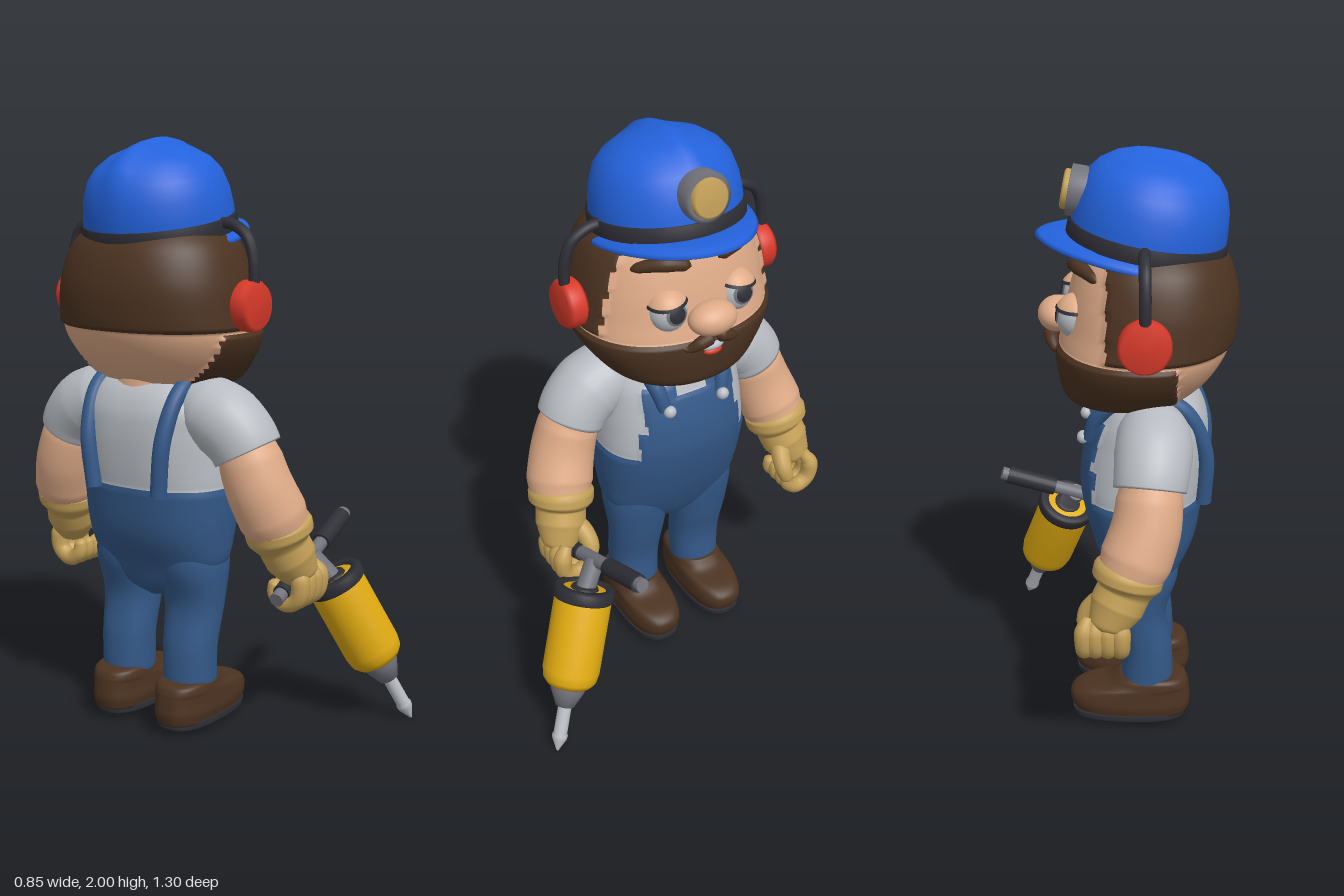
import * as THREE from 'three';
import { mergeVertices } from 'three/addons/utils/BufferGeometryUtils.js';

const V = (x, y, z) => new THREE.Vector3(x, y, z);
const mat = (name, color) => { const m = new THREE.MeshStandardMaterial({ color }); m.name = name; return m; };
const M = {
  helmet: mat('helmetBlue', 0x2362dc), denim: mat('denimBlue', 0x345989), yellow: mat('yellow', 0xe0aa10),
  red: mat('red', 0xd83a2a), skin: mat('skin', 0xdfab88), brown: mat('brown', 0x4c3321),
  shirt: mat('lightGrey', 0xb8bcc2), black: mat('charcoal', 0x2e2e36), metal: mat('metalGrey', 0x72727c),
  tan: mat('tan', 0xc4a058),
};

function add(parent, name, geo, material, pos) {
  const m = new THREE.Mesh(geo, material);
  m.name = name;
  if (pos) m.position.set(...pos);
  parent.add(m);
  return m;
}

// Stacked superellipse rings [y, xBack, xFront, halfWidth]; rule picks a material index, swell pushes vertices out
function loft(rings, { seg = 40, rows = 32, zc = 0, e = 2.2, rule = null, swell = null } = {}) {
  const yc = new THREE.CatmullRomCurve3(rings.map(r => V(r[0], 0, 0)), false, 'catmullrom');
  const sc = new THREE.CatmullRomCurve3(rings.map(r => V(r[1], r[2], r[3])), false, 'catmullrom');
  const pos = [], lists = [[], [], []];
  for (let j = -1; j <= rows + 1; j++) {
    const t = Math.min(Math.max(j / rows, 0), 1), k = j < 0 || j > rows ? 0 : 1;
    const y = yc.getPoint(t).x, s = sc.getPoint(t), cx = (s.x + s.y) / 2, rx = (s.y - s.x) / 2;
    for (let i = 0; i < seg; i++) {
      const a = i / seg * Math.PI * 2, c = Math.cos(a), n = Math.sin(a);
      let dx = k * rx * Math.sign(c) * Math.abs(c) ** (2 / e), dz = k * s.z * Math.sign(n) * Math.abs(n) ** (2 / e);
      const g = swell ? swell(cx + dx, y, dz) : 1;
      pos.push(cx + dx * g, y, zc + dz * g);
    }
  }
  const P = (i, n) => pos[i * 3 + n];
  for (let j = 0; j < rows + 2; j++) for (let i = 0; i < seg; i++) {
    const a = j * seg + i, b = j * seg + (i + 1) % seg, c = a + seg, d = b + seg;
    const mid = n => (P(a, n) + P(b, n) + P(c, n) + P(d, n)) / 4;
    lists[rule ? rule(mid(0), mid(1), mid(2) - zc) : 0].push(a, c, b, b, c, d);
  }
  const g = new THREE.BufferGeometry();
  g.setAttribute('position', new THREE.Float32BufferAttribute(pos, 3));
  g.setIndex(lists.flat());
  let start = 0;
  if (rule) lists.forEach((l, i) => { g.addGroup(start, l.length, i); start += l.length; });
  g.computeVertexNormals();
  return g;
}

// Tube of changing radius through [x, y, z, r], mirrored in z by s
function sweep(pts, s = 1, seg = 18, n = pts.length * 6) {
  const curve = new THREE.CatmullRomCurve3(pts.map(p => V(p[0], p[1], p[2] * s)));
  let g = new THREE.TubeGeometry(curve, n, 1, seg);
  const p = g.attributes.position, v = V();
  for (let i = 0; i < p.count; i++) {
    const u = Math.floor(i / (seg + 1)) / n, c = curve.getPointAt(u);
    const f = curve.getUtoTmapping(u) * (pts.length - 1), k = Math.min(Math.floor(f), pts.length - 2);
    const r = THREE.MathUtils.lerp(pts[k][3], pts[k + 1][3], f - k);
    v.fromBufferAttribute(p, i).sub(c).multiplyScalar(r).add(c);
    p.setXYZ(i, v.x, v.y, v.z);
  }
  g.deleteAttribute('uv');
  g.deleteAttribute('normal');
  g = mergeVertices(g, 1e-5);
  g.computeVertexNormals();
  return g;
}

const lathe = (pts, seg = 40) => new THREE.LatheGeometry(pts.map(p => new THREE.Vector2(...p)), seg);
const ball = (x, y, z) => new THREE.SphereGeometry(1, 28, 20).scale(x, y, z);
function rod(parent, name, a, b, r, material) {
  const m = add(parent, name, new THREE.CylinderGeometry(r, r, a.distanceTo(b), 20), material);
  m.position.copy(a).lerp(b, 0.5);
  m.quaternion.setFromUnitVectors(V(0, 1, 0), b.clone().sub(a).normalize());
}

function buildHead(g) {
  // Skull with hair behind and beard below
  const isHair = (x, y) => x < 0 && y > 1.39, isBeard = (x, y) => y < 1.38 && x > -0.22;
  add(g, 'head', loft([
    [1.165, -0.16, 0.08, 0.1], [1.2, -0.25, 0.14, 0.22], [1.27, -0.33, 0.16, 0.29], [1.36, -0.385, 0.168, 0.335],
    [1.45, -0.405, 0.15, 0.33], [1.55, -0.405, 0.13, 0.315], [1.65, -0.375, 0.1, 0.28], [1.72, -0.32, 0.06, 0.22],
    [1.78, -0.27, 0, 0.16]], {
    seg: 112, rows: 84,
    rule: (x, y) => isHair(x, y) ? 1 : isBeard(x, y) ? 2 : 0,
    swell: (x, y) => isHair(x, y) || isBeard(x, y) ? 1.035 : 1,
  }), [M.skin, M.brown, M.brown]);
  add(g, 'neck', new THREE.CylinderGeometry(0.13, 0.15, 0.16, 28), M.skin, [-0.14, 1.22, 0]);
  add(g, 'nose', ball(0.065, 0.057, 0.085), M.skin, [0.17, 1.455, 0]);
  add(g, 'teeth', ball(0.02, 0.016, 0.042), M.shirt, [0.172, 1.352, 0]);
  add(g, 'tongue', ball(0.02, 0.014, 0.034), M.red, [0.174, 1.334, 0]);
  for (const s of [1, -1]) {
    add(g, 'moustache', sweep([[0.19, 1.4, -0.005, 0], [0.19, 1.395, 0.02, 0.024], [0.185, 1.38, 0.055, 0.022],
      [0.17, 1.362, 0.09, 0.012], [0.163, 1.372, 0.115, 0]], s), M.brown);
    add(g, 'eyebrow', sweep([[0.12, 1.632, 0.05, 0], [0.115, 1.64, 0.065, 0.02], [0.092, 1.65, 0.13, 0.026],
      [0.04, 1.632, 0.2, 0.018], [0.015, 1.615, 0.23, 0]], s), M.brown);
    // Eye: ball, iris, pupil, lid and lash line
    const eye = new THREE.Group();
    eye.name = 'eye';
    eye.position.set(0.098, 1.485, 0.125 * s);
    g.add(eye);
    add(eye, 'eyeball', ball(0.066, 0.072, 0.066), M.shirt);
    const cap = (r, a) => new THREE.SphereGeometry(r, 24, 8, 0, Math.PI * 2, 0, a).rotateZ(-Math.PI / 2 + 0.2);
    add(eye, 'iris', cap(0.07, 0.56), M.metal);
    add(eye, 'pupil', cap(0.0715, 0.42), M.black);
    const lid = (r, a, l) => new THREE.SphereGeometry(r, 28, 10, 0, Math.PI * 2, a, l).scale(1, 1.06, 1);
    add(eye, 'eyelid', lid(0.075, 0, 1.12), M.skin).rotation.x = 0.12 * s;
    add(eye, 'lashLine', lid(0.0765, 1.0, 0.14), M.black).rotation.x = 0.12 * s;
    // Ear defender and its arm
    add(g, 'earCup', lathe([[0, -0.035], [0.07, -0.035], [0.083, -0.022], [0.083, 0.02], [0.072, 0.035], [0, 0.038]])
      .rotateX(s * Math.PI / 2), M.red, [-0.12, 1.47, 0.362 * s]);
    add(g, 'earCupArm', sweep([[-0.115, 1.73, 0.24, 0.019], [-0.115, 1.725, 0.29, 0.019], [-0.118, 1.69, 0.345, 0.019],
      [-0.12, 1.62, 0.372, 0.019], [-0.12, 1.5, 0.375, 0.019]], s, 10), M.black);
  }
}

function buildHelmet(g) {
  const h = new THREE.Group();
  h.name = 'helmet';
  h.position.set(-0.115, 1.69, 0);
  h.rotation.z = 0.17;
  g.add(h);
  // Dome with a low crest along the middle
  const dome = lathe([[0.252, 0], [0.25, 0.07], [0.242, 0.13], [0.222, 0.19], [0.19, 0.23], [0.14, 0.263],
    [0.08, 0.282], [0.04, 0.287], [0, 0.288]], 64);
  const p = dome.attributes.position;
  for (let i = 0; i < p.count; i++)
    p.setY(i, p.getY(i) + 0.02 * Math.exp(-((p.getZ(i) / 0.045) ** 2)) * Math.min(1, p.getY(i) / 0.15));
  dome.computeVertexNormals();
  add(h, 'dome', dome, M.helmet);
  add(h, 'helmetBand', lathe([[0.25, 0], [0.26, 0.002], [0.259, 0.05], [0.248, 0.052]], 64), M.black);
  // Brim drawn out to a peak in front
  const peak = geo => {
    const q = geo.attributes.position;
    for (let i = 0; i < q.count; i++) {
      const r = Math.hypot(q.getX(i), q.getZ(i)) || 1, c = Math.max(0, q.getX(i) / r);
      q.setX(i, q.getX(i) + 0.075 * c * c * Math.max(0, r - 0.2) / 0.075);
    }
    geo.computeVertexNormals();
    return geo;
  };
  add(h, 'brim', peak(lathe([[0.24, -0.03], [0.27, -0.032], [0.278, -0.025], [0.272, -0.014], [0.25, 0.004], [0.2, 0.006]], 64)), M.helmet);
  add(h, 'brimLining', peak(lathe([[0, -0.03], [0.2, -0.032], [0.262, -0.034]], 64)), M.black);
  // Head lamp
  const turn = geo => geo.rotateZ(-Math.PI / 2);
  add(h, 'lampHousing', turn(lathe([[0, -0.07], [0.065, -0.07], [0.082, -0.04], [0.082, 0.03], [0.068, 0.032], [0, 0.032]])),
    M.metal, [0.24, 0.13, 0]);
  add(h, 'lampLens', turn(lathe([[0.064, 0], [0.064, 0.018], [0.056, 0.024], [0, 0.026]])), M.tan, [0.268, 0.13, 0]);
}

function buildBody(g) {
  // Shirt and bib overalls
  const bib = (x, y, z) => y < 0.86 || (x > -0.1 && y < 1.13 && Math.abs(z) < (y < 0.97 ? 0.2 : 0.175) &&
    !(y > 1.09 && Math.abs(z) < 0.06));
  add(g, 'torso', loft([
    [0.46, -0.17, -0.07, 0.03], [0.5, -0.21, -0.03, 0.13], [0.58, -0.24, 0.01, 0.235], [0.7, -0.29, 0.055, 0.262],
    [0.85, -0.312, 0.09, 0.272], [0.95, -0.325, 0.09, 0.268], [1.05, -0.33, 0.07, 0.26], [1.13, -0.32, 0.04, 0.25],
    [1.2, -0.28, 0, 0.2], [1.25, -0.2, -0.06, 0.12]], {
    seg: 112, rows: 90, e: 2.4, rule: (x, y, z) => bib(x, y, z) ? 1 : 0,
    swell: (x, y, z) => bib(x, y, z) ? 1.025 : 1,
  }), [M.shirt, M.denim, M.denim]);
  for (const s of [1, -1]) {
    add(g, 'strap', sweep([[0.062, 1.06, 0.11, 0.024], [0.035, 1.14, 0.13, 0.028], [-0.05, 1.215, 0.155, 0.028],
      [-0.15, 1.23, 0.165, 0.028], [-0.25, 1.18, 0.168, 0.028], [-0.315, 1.04, 0.155, 0.028], [-0.315, 0.85, 0.135, 0.028]], s), M.denim);
    add(g, 'button', ball(0.02, 0.022, 0.022), M.shirt, [0.085, 1.062, 0.105 * s]);
    add(g, 'leg', loft([[0.16, -0.215, -0.055, 0.085], [0.18, -0.225, -0.048, 0.09], [0.3, -0.22, -0.05, 0.095], [0.44, -0.2, -0.02, 0.105],
      [0.57, -0.235, 0.005, 0.118], [0.66, -0.24, 0.01, 0.11]], { zc: 0.133 * s }), M.denim);
    add(g, 'boot', loft([[0.045, -0.28, 0.115, 0.09], [0.08, -0.288, 0.13, 0.098], [0.115, -0.286, 0.128, 0.096], [0.14, -0.283, 0.09, 0.094],
      [0.155, -0.28, 0.01, 0.092], [0.175, -0.27, -0.025, 0.088], [0.185, -0.25, -0.04, 0.08]], { zc: 0.135 * s, e: 2.6 }), M.brown);
    add(g, 'sole', loft([[0.026, -0.265, 0.115, 0.088], [0.03, -0.272, 0.122, 0.093], [0.052, -0.272, 0.124, 0.094]],
      { zc: 0.135 * s, rows: 6, e: 2.6 }), M.black);
    // Sleeve, forearm and glove
    add(g, 'sleeve', sweep([[-0.15, 1.14, 0.14, 0.09], [-0.15, 1.12, 0.22, 0.12], [-0.15, 1.09, 0.29, 0.125],
      [-0.145, 1.04, 0.345, 0.12], [-0.14, 0.995, 0.37, 0.116], [-0.14, 0.99, 0.373, 0]], s, 28), M.shirt);
    add(g, 'forearm', sweep([[-0.14, 1.03, 0.36, 0.09], [-0.14, 0.97, 0.38, 0.106], [-0.13, 0.88, 0.41, 0.112],
      [-0.1, 0.79, 0.44, 0.116], [-0.075, 0.73, 0.455, 0.1], [-0.07, 0.7, 0.46, 0]], s, 28), M.skin);
    add(g, 'glove', sweep([[-0.085, 0.77, 0.445, 0.09], [-0.08, 0.755, 0.448, 0.115], [-0.072, 0.72, 0.453, 0.114], [-0.063, 0.69, 0.46, 0.088],
      [-0.04, 0.64, 0.475, 0.088], [-0.01, 0.575, 0.5, 0.06], [0, 0.54, 0.515, 0]], s, 28), M.tan);
    for (const x of [-0.055, -0.015, 0.025, 0.06])
      add(g, 'finger', sweep([[x * 0.8, 0.61, 0.5, 0.02], [x, 0.57, 0.522, 0.032], [x, 0.51, 0.515, 0.031], [x, 0.482, 0.47, 0.03],
        [x, 0.51, 0.427, 0.028], [x, 0.55, 0.425, 0.022], [x, 0.56, 0.428, 0]], s, 12), M.tan);
    add(g, 'thumb', sweep([[-0.03, 0.65, 0.45, 0.04], [0.015, 0.625, 0.42, 0.036], [0.055, 0.58, 0.41, 0.032],
      [0.065, 0.54, 0.42, 0.026], [0.065, 0.52, 0.425, 0]], s, 12), M.tan);
  }
}

function buildDrill(root) {
  const g = new THREE.Group();
  g.name = 'drill';
  root.add(g);
  // Cross handle with grips
  const a = V(-0.12, 0.51, 0.39), b = V(0.42, 0.685, 0.33), at = t => a.clone().lerp(b, t);
  rod(g, 'handleBar', a, b, 0.024, M.metal);
  rod(g, 'rearGrip', at(0.07), at(0.34), 0.03, M.black);
  rod(g, 'frontGrip', at(0.64), at(0.96), 0.032, M.black);
  const top = V(0.18, 0.53, 0.42), tip = V(0.365, 0, 0.65);
  rod(g, 'handleStem', at(0.49), top.clone().lerp(tip, 0.04), 0.034, M.metal);
  // Motor, chuck and bit along one axis
  const tool = new THREE.Group();
  tool.name = 'motorUnit';
  tool.position.copy(top);
  tool.quaternion.setFromUnitVectors(V(0, 1, 0), tip.clone().sub(top).normalize());
  g.add(tool);
  add(tool, 'topRing', lathe([[0.075, 0.012], [0.078, 0], [0.102, 0], [0.108, 0.008], [0.108, 0.04], [0.098, 0.048]]), M.black);
  add(tool, 'motor', lathe([[0, 0.01], [0.08, 0.01], [0.1, 0.03], [0.1, 0.3], [0.094, 0.335], [0.078, 0.355], [0, 0.358]]), M.yellow);
  add(tool, 'topPlug', lathe([[0, 0], [0.045, 0], [0.05, 0.012]]), M.black);
  add(tool, 'chuck', lathe([[0.062, 0.35], [0.06, 0.378], [0.034, 0.435], [0, 0.437]]), M.metal);
  add(tool, 'bit', lathe([[0.024, 0.42], [0.024, 0.54], [0.028, 0.545], [0.026, 0.56], [0.004, 0.604], [0, 0.606]], 20), M.shirt);
}

export function createModel() {
  const root = new THREE.Group();
  root.name = 'worker';
  const figure = new THREE.Group();
  figure.name = 'figure';
  figure.position.z = -0.08;
  root.add(figure);
  buildHead(figure);
  buildHelmet(figure);
  buildBody(figure);
  buildDrill(root);
  return root;
}
